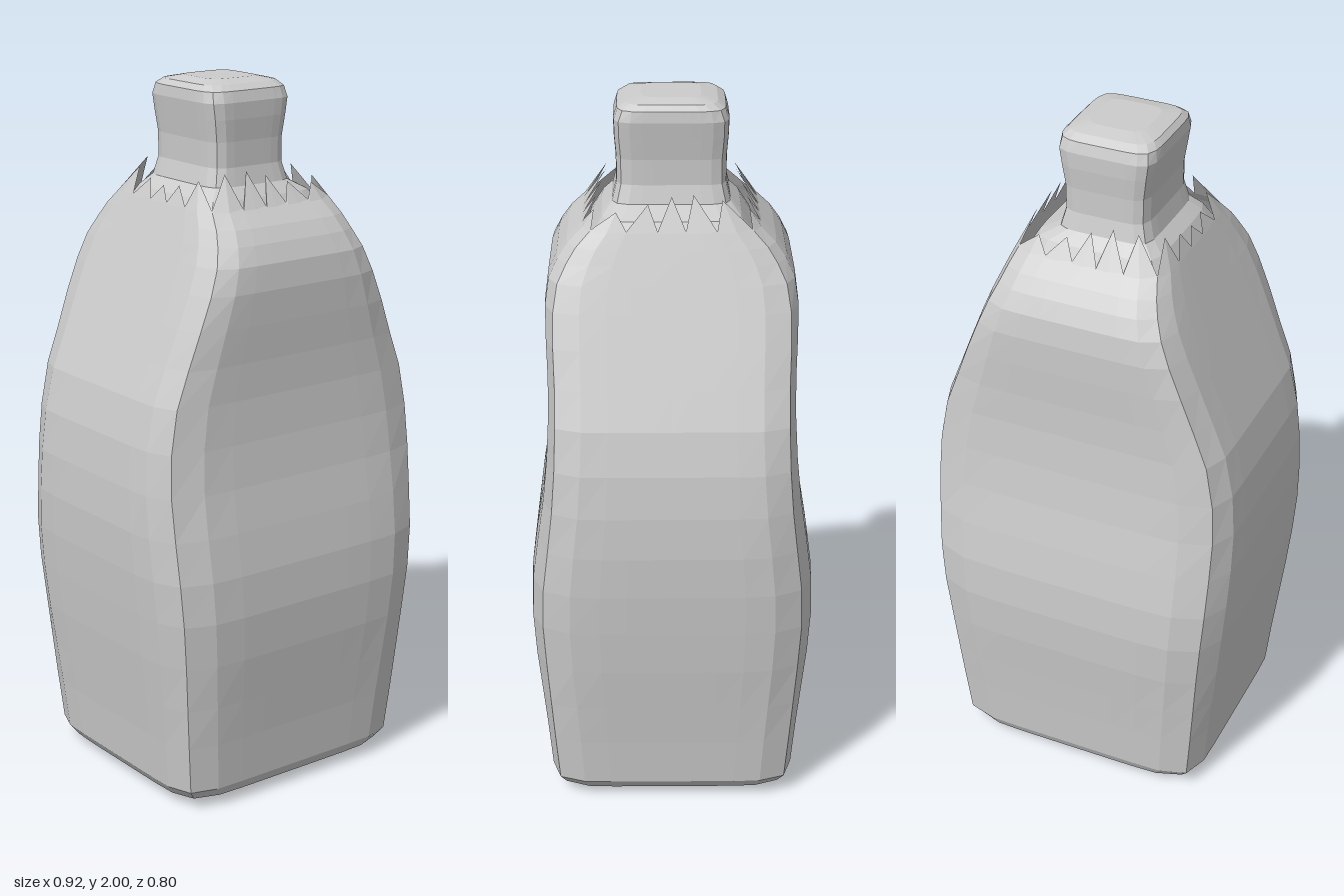
import * as THREE from 'three';

const PER_SIDE = 10;            // segments along each side of the square section
const N = PER_SIDE * 4;

// Point j on a bulged square: half sizes hx, hz, squareness n
function ringPoint(j, y, hx, hz, n, ox = 0) {
  const t = -1 + (2 * (j % PER_SIDE)) / PER_SIDE;
  let u = 1, v = Math.tan((t * Math.PI) / 4);
  for (let k = Math.floor((j % N) / PER_SIDE); k > 0; k--) [u, v] = [-v, u];
  const s = Math.pow(Math.abs(u) ** n + Math.abs(v) ** n, -1 / n);
  return [ox + hx * u * s, y, hz * v * s];
}

// Skin a stack of rings, with optional flat caps
function loft(rings, capBottom, capTop) {
  const pos = rings.flat(2);
  const index = [];
  for (let i = 0; i < rings.length - 1; i++) {
    for (let j = 0; j < N; j++) {
      const a = i * N + j, b = i * N + ((j + 1) % N), c = a + N, d = b + N;
      index.push(a, c, b, b, c, d);
    }
  }
  const cap = (row, up) => {
    const y = rings[row][0][1];
    const center = pos.length / 3;
    const cx = rings[row].reduce((sum, p) => sum + p[0], 0) / N;
    pos.push(cx, y, 0);
    for (let j = 0; j < N; j++) {
      const a = row * N + j, b = row * N + ((j + 1) % N);
      index.push(center, up ? b : a, up ? a : b);
    }
  };
  if (capBottom) cap(0, false);
  if (capTop) cap(rings.length - 1, true);
  const geo = new THREE.BufferGeometry();
  geo.setAttribute('position', new THREE.Float32BufferAttribute(pos, 3));
  geo.setIndex(index);
  geo.computeVertexNormals();
  return geo;
}

const section = ([y, hx, hz, n], ox = 0) =>
  Array.from({ length: N }, (_, j) => ringPoint(j, y, hx, hz, n, ox));

export function createModel() {
  const group = new THREE.Group();
  const material = new THREE.MeshStandardMaterial({
    color: 0xcccccc, flatShading: true, side: THREE.DoubleSide,
  });
  const add = (name, geo) => {
    const mesh = new THREE.Mesh(geo, material);
    mesh.name = name;
    group.add(mesh);
  };

  // Body sections: height, half width, half depth, squareness
  const body = [
    [0, 0.24, 0.22, 7], [0.01, 0.32, 0.295, 7], [0.03, 0.365, 0.335, 8],
    [0.06, 0.386, 0.35, 9], [0.2, 0.4, 0.362, 9], [0.32, 0.415, 0.375, 8],
    [0.45, 0.432, 0.39, 7], [0.58, 0.445, 0.398, 7], [0.7, 0.455, 0.394, 7],
    [0.82, 0.46, 0.378, 7], [0.94, 0.457, 0.358, 8], [1.06, 0.445, 0.345, 9],
    [1.18, 0.418, 0.338, 10], [1.28, 0.378, 0.338, 10], [1.38, 0.338, 0.342, 10],
    [1.47, 0.302, 0.344, 9], [1.54, 0.274, 0.335, 8], [1.59, 0.254, 0.312, 7],
    [1.63, 0.238, 0.284, 7], [1.67, 0.222, 0.243, 7],
  ].map((s) => section(s));

  // Torn rim: every other point stands up as a tooth of uneven height
  body.push(Array.from({ length: N }, (_, j) => {
    if (j % 2 === 0) return ringPoint(j, 1.675, 0.22, 0.238, 7);
    const h = 0.065 + 0.025 * Math.sin(j * 2.7);
    return ringPoint(j, 1.675 + h, 0.22 - h * 0.45, 0.238 - h * 0.65, 7);
  }));
  add('body', loft(body, true, false));

  // Neck flares out under the rim and ends in a rounded, slightly offset cap
  const neck = [
    [1.63, 0.215, 0.225, 7], [1.69, 0.18, 0.19, 7], [1.72, 0.135, 0.162, 7],
    [1.77, 0.122, 0.15, 7], [1.84, 0.123, 0.15, 7], [1.9, 0.132, 0.155, 7],
    [1.945, 0.139, 0.156, 7], [1.975, 0.136, 0.147, 6], [1.99, 0.122, 0.125, 6],
    [2, 0.08, 0.08, 5],
  ].map((s) => section(s, s[0] < 1.7 ? 0 : -0.012));
  add('neck', loft(neck, false, true));

  return group;
}
